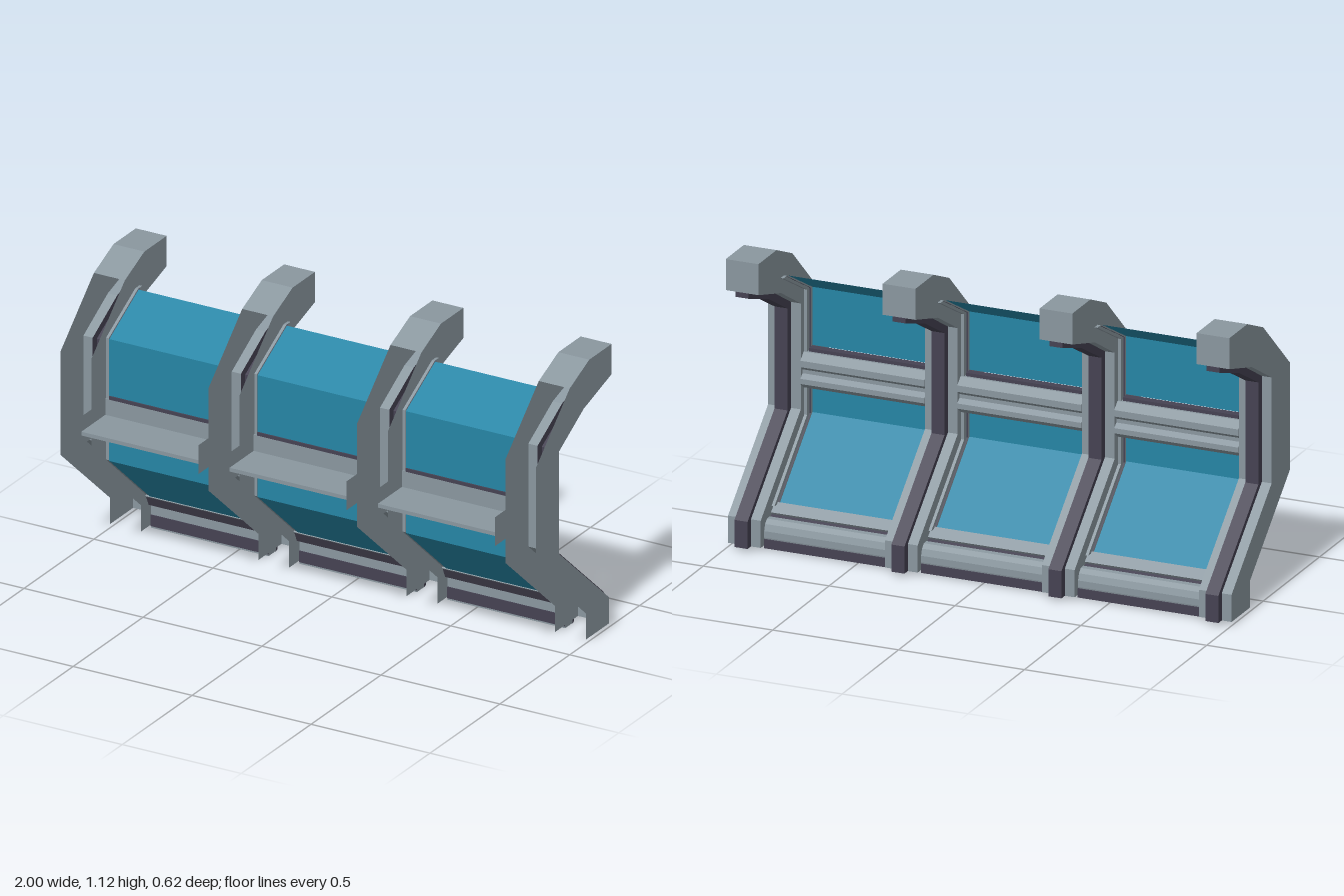
import * as THREE from 'three';

const mat = (name, color) => {
  const m = new THREE.MeshStandardMaterial({ color, side: THREE.DoubleSide });
  m.name = name;
  return m;
};

// Profiles are lists of [z, y]
const OUTER = [[-0.115, 0.015], [-0.115, 0.12], [0.24, 0.43], [0.24, 0.84], [0, 1.06], [-0.14, 1.12], [-0.3, 1.12]];
const INNER = [[-0.3, 1.0], [-0.1, 0.94], [0.075, 0.84], [0.075, 0.43], [-0.28, 0.12], [-0.28, 0.015]];
const STRIP = [[-0.3, 0.98], [-0.13, 0.922], [0.045, 0.825], [0.045, 0.43], [-0.31, 0.12], [-0.31, 0.015]];
const UPPER = [[-0.07, 1.0], [0.14, 0.885], [0.14, 0.66]];
const LOWER = [[0.14, 0.505], [0.14, 0.4], [-0.15, 0.145]];

const shapeOf = (pts) => new THREE.Shape(pts.map(([z, y]) => new THREE.Vector2(z, y)));

// Solid prism of a z-y profile, running along x
function prism(pts, width) {
  const g = new THREE.ExtrudeGeometry(shapeOf(pts), { depth: width, bevelEnabled: false });
  return g.rotateY(-Math.PI / 2).translate(width / 2, 0, 0);
}

// Flat sheet of a z-y profile, at one x
function sheet(pts) {
  return new THREE.ShapeGeometry(shapeOf(pts)).rotateY(-Math.PI / 2);
}

// Folded sheet following a z-y path from x0 to x1
function ribbon(path, x0, x1) {
  const v = [];
  for (let i = 0; i + 1 < path.length; i++) {
    const [z0, y0] = path[i], [z1, y1] = path[i + 1];
    v.push(x0, y0, z0, x0, y1, z1, x1, y1, z1, x0, y0, z0, x1, y1, z1, x1, y0, z0);
  }
  const g = new THREE.BufferGeometry();
  g.setAttribute('position', new THREE.Float32BufferAttribute(v, 3));
  g.computeVertexNormals();
  return g;
}

const shift = (path, dz, dy = 0) => path.map(([z, y]) => [z + dz, y + dy]);

export function createModel() {
  const root = new THREE.Group();
  root.name = 'windowWall';
  const grey = mat('greyMetal', 0x8a979f);
  const dark = mat('darkTrim', 0x454252);
  const blue = mat('blueGlass', 0x2585a5);

  const add = (group, name, geometry, material, x = 0) => {
    const m = new THREE.Mesh(geometry, material);
    m.name = name;
    m.position.x = x;
    group.add(m);
  };

  // Ribs: hollow channels, open along the outside, with a raised dark strip inside
  function rib() {
    const g = new THREE.Group();
    g.name = 'rib';
    const h = 0.065, s = 0.026;
    for (const d of [-1, 1]) {
      add(g, 'ribSide', sheet([...OUTER, ...INNER]), grey, d * h);
      add(g, 'ribInnerFace', ribbon(INNER, d * s, d * h), grey);
      add(g, 'stripSide', sheet([...INNER, ...[...STRIP].reverse()]), dark, d * s);
    }
    add(g, 'ribCap', ribbon([...OUTER.slice(4), INNER[0]], -h, h), grey);
    add(g, 'strip', ribbon(STRIP, -s, s), dark);
    add(g, 'stripEnd', ribbon([INNER[0], STRIP[0]], -s, s), dark);
    return g;
  }
  for (const x of [-0.935, -0.3117, 0.3117, 0.935]) {
    const r = rib();
    r.position.x = x;
    root.add(r);
  }

  // Bays: glass, frames, middle beam and foot beam between two ribs
  function bay() {
    const g = new THREE.Group();
    g.name = 'bay';
    const W = 0.493, gw = 0.23;
    add(g, 'upperGlass', ribbon(UPPER, -gw, gw), blue);
    add(g, 'lowerGlass', ribbon(LOWER, -gw, gw), blue);

    const path = [...UPPER, ...LOWER];
    const rail = [...shift(path, -0.005), ...shift(path, -0.035).reverse()];
    for (const d of [-1, 1]) {
      add(g, 'sideRail', prism(rail, W / 2 - gw - 0.005), grey, d * (W / 4 + gw / 2 + 0.0025));
      add(g, 'sideSeal', ribbon(shift(path, -0.012), d * gw, d * (gw + 0.008)), dark);
    }

    // Middle beam with a grooved inner side
    add(g, 'middleBeam', prism([[0.14, 0.507], [0.14, 0.645], [0.1, 0.645], [0.07, 0.62], [0.07, 0.595],
      [0.09, 0.58], [0.09, 0.565], [0.07, 0.55], [0.07, 0.53], [0.1, 0.507]], W), grey);
    add(g, 'upperSill', prism([[0.142, 0.645], [0.142, 0.658], [0.11, 0.658], [0.11, 0.645]], 2 * gw), dark);
    add(g, 'shelf', prism([[0.312, 0.565], [0.312, 0.58], [0.13, 0.58], [0.13, 0.565]], W), grey);
    for (const d of [-1, 1]) {
      add(g, 'shelfEnd', sheet([[0.314, 0.525], [0.314, 0.64], [0.12, 0.64], [0.12, 0.525]]), grey, d * W / 2);
    }

    // Foot beam: sloping sill, dark core and a rounded bar
    add(g, 'sill', prism([[-0.145, 0.145], [-0.155, 0.152], [-0.19, 0.122], [-0.182, 0.112]], W), grey);
    add(g, 'sillCore', prism([[-0.15, 0.143], [-0.17, 0.1], [-0.21, 0.1], [-0.183, 0.113]], W), dark);
    add(g, 'footBar', prism([[-0.188, 0.002], [-0.188, 0.1], [-0.205, 0.112], [-0.225, 0.11],
      [-0.242, 0.095], [-0.25, 0.07], [-0.25, 0.045], [-0.24, 0.002]], W), grey);
    add(g, 'footBack', prism([[-0.24, 0], [-0.253, 0.005], [-0.253, 0.04], [-0.245, 0.04]], W), dark);
    add(g, 'footFront', prism([[-0.184, 0.01], [-0.184, 0.055], [-0.19, 0.055], [-0.19, 0.01]], W), dark);
    return g;
  }
  for (const x of [-0.6233, 0, 0.6233]) {
    const b = bay();
    b.position.x = x;
    root.add(b);
  }
  return root;
}
